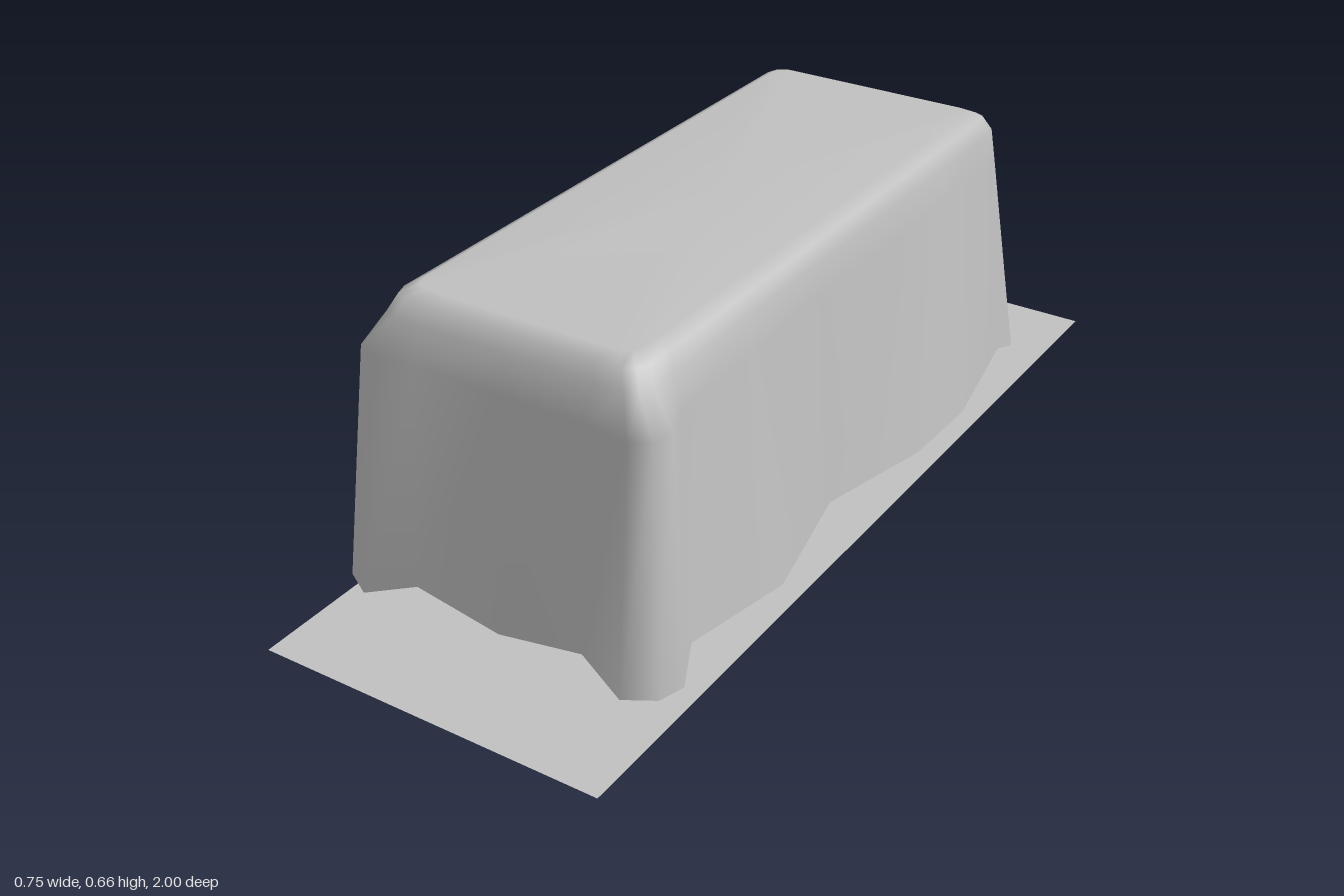
import * as THREE from 'three';

// Half outline of the cover, from back centre round +x to front centre:
// hem x, y, z, then x, z just under the top edge
const HALF = [
  [0, 0.05, -0.725, 0, -0.65],
  [0.19, 0.05, -0.735, 0.19, -0.65],
  [0.29, 0.05, -0.75, 0.255, -0.65],
  [0.325, 0.055, -0.725, 0.277, -0.64],
  [0.335, 0.06, -0.7, 0.285, -0.615],
  [0.33, 0.08, -0.64, 0.285, -0.57],
  [0.37, 0.055, -0.38, 0.285, -0.38],
  [0.365, 0.055, -0.18, 0.285, -0.18],
  [0.32, 0.08, 0.12, 0.285, 0.12],
  [0.365, 0.055, 0.38, 0.285, 0.38],
  [0.335, 0.08, 0.65, 0.285, 0.62],
  [0.372, 0.05, 0.73, 0.285, 0.68],
  [0.355, 0.05, 0.785, 0.275, 0.708],
  [0.295, 0.05, 0.82, 0.25, 0.72],
  [0.19, 0.083, 0.785, 0.19, 0.72],
  [0, 0.05, 0.785, 0, 0.72],
];
// The front corners bulge at shoulder height: column -> x, z
const SHOULDER = {
  10: [0.305, 0.63], 11: [0.33, 0.69], 12: [0.32, 0.735],
  13: [0.28, 0.755], 14: [0.19, 0.745], 15: [0, 0.745],
};

// One column of the cover, from hem to roof
function column(i, side) {
  const [hx, hy, hz, ux, uz] = HALF[i];
  const t = 0.13;
  const [sx, sz] = SHOULDER[i] ?? [ux + (hx - ux) * t, uz + (hz - uz) * t];
  const inset = (d, y) => [ux * (1 - d / 0.285), y, 0.035 + (uz - 0.035) * (1 - d / 0.685)];
  return [[hx, hy, hz], [sx, 0.54, sz], [ux, 0.61, uz], inset(0.017, 0.643), inset(0.045, 0.658)]
    .map(([x, y, z]) => [x * side, y, z]);
}

function coverGeometry() {
  const columns = HALF.map((_, i) => column(i, 1));
  for (let i = HALF.length - 2; i > 0; i--) columns.push(column(i, -1));
  const rows = columns[0].length, n = columns.length;
  const points = columns.flat(2);
  points.push(0, 0.658, 0.035);
  const index = [];
  for (let i = 0; i < n; i++) {
    const a = i * rows, b = ((i + 1) % n) * rows;
    for (let r = 0; r < rows - 1; r++) {
      index.push(a + r, a + r + 1, b + r, b + r, a + r + 1, b + r + 1);
    }
    index.push(n * rows, b + rows - 1, a + rows - 1);
  }
  const geometry = new THREE.BufferGeometry();
  geometry.setAttribute('position', new THREE.Float32BufferAttribute(points, 3));
  geometry.setIndex(index);
  geometry.computeVertexNormals();
  return geometry;
}

export function createModel() {
  const model = new THREE.Group();
  model.name = 'coveredCar';
  const gray = new THREE.MeshStandardMaterial({ color: 0xc0c0c0, side: THREE.DoubleSide });
  gray.name = 'lightGray';

  const add = (name, geometry, x, y, z) => {
    const mesh = new THREE.Mesh(geometry, gray);
    mesh.name = name;
    mesh.position.set(x, y, z);
    model.add(mesh);
  };

  // Draped cover, open underneath
  add('cover', coverGeometry(), 0, 0, 0);

  // Ground sheet
  add('groundSheet', new THREE.PlaneGeometry(0.75, 2).rotateX(-Math.PI / 2), 0, 0, 0);

  // Hidden car body
  add('underbody', new THREE.BoxGeometry(0.52, 0.2, 1.25), 0, 0.17, 0.02);

  // Wheels, flat side down
  const wheel = new THREE.CylinderGeometry(0.093, 0.093, 0.07, 12, 1, false, Math.PI / 12)
    .rotateZ(Math.PI / 2);
  for (const side of [-1, 1]) {
    const label = side > 0 ? 'left' : 'right';
    add(`${label}FrontWheel`, wheel, side * 0.255, 0.1, 0.44);
    add(`${label}BackWheel`, wheel, side * 0.255, 0.1, -0.31);
  }
  return model;
}
